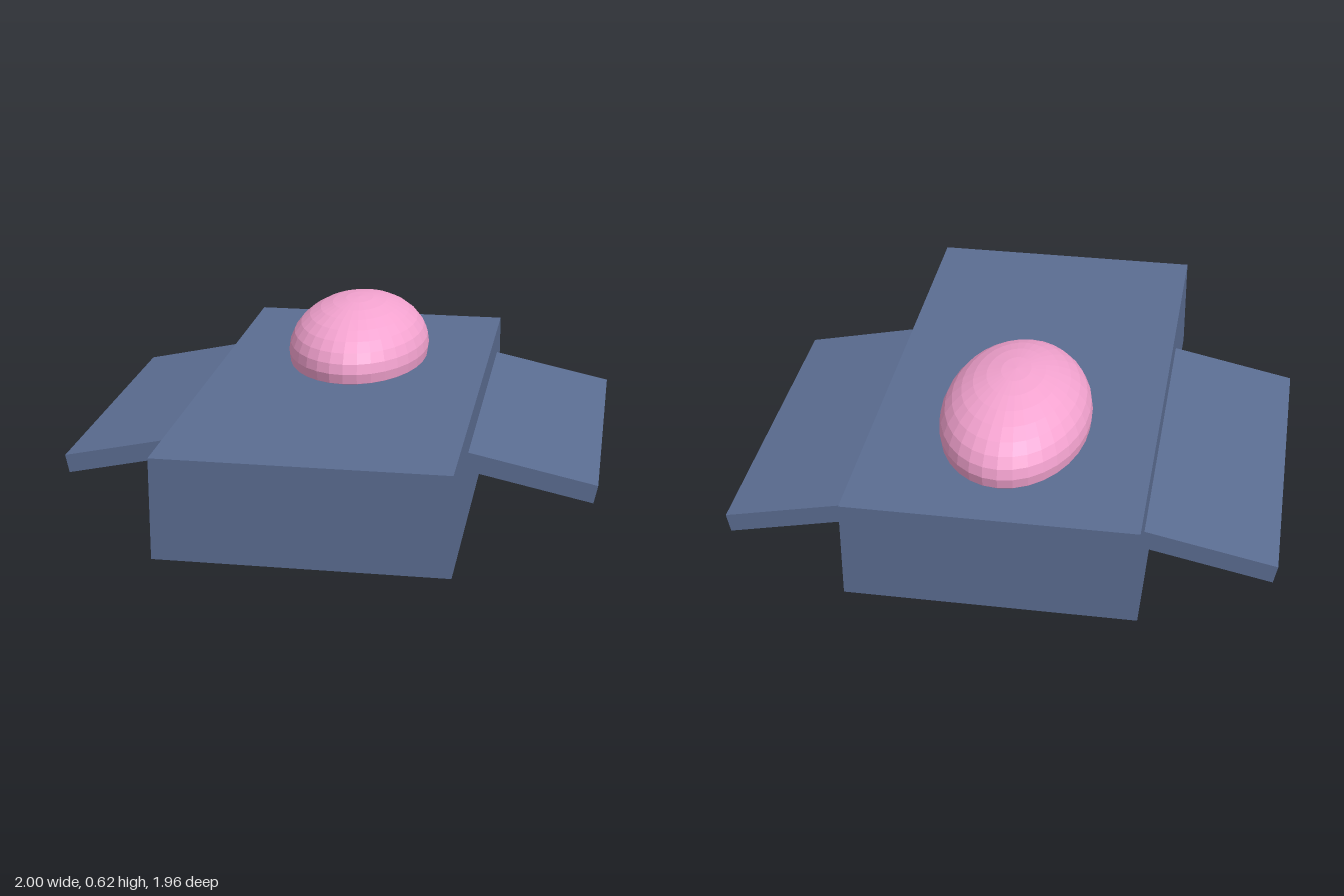
import * as THREE from 'three';

export function createModel() {
  const model = new THREE.Group();
  const blue = new THREE.MeshStandardMaterial({ color: 0x5b6d92, flatShading: true });
  const pink = new THREE.MeshStandardMaterial({ color: 0xf4a3d0, flatShading: true });

  // Main slab body
  const body = new THREE.Mesh(new THREE.BoxGeometry(1.054, 0.375, 1.96), blue);
  body.name = 'body';
  body.position.y = 0.1875;
  model.add(body);

  // Ellipsoid canopy, half sunk into the body
  const canopy = new THREE.Mesh(new THREE.SphereGeometry(1, 32, 16), pink);
  canopy.name = 'canopy';
  canopy.scale.set(0.28, 0.2, 0.433);
  canopy.position.set(0, 0.415, -0.363);
  model.add(canopy);

  // Drooping wings, hung from their outer top edge and running into the body
  const length = 0.56, thickness = 0.07, droop = 0.209;
  for (const side of [1, -1]) {
    const geometry = new THREE.BoxGeometry(length, thickness, 1.27);
    geometry.translate(-side * length / 2, -thickness / 2, 0);
    const wing = new THREE.Mesh(geometry, blue);
    wing.name = side > 0 ? 'leftWing' : 'rightWing';
    wing.position.set(side, 0.167, -0.182);
    wing.rotation.z = -side * droop;
    model.add(wing);
  }
  return model;
}
